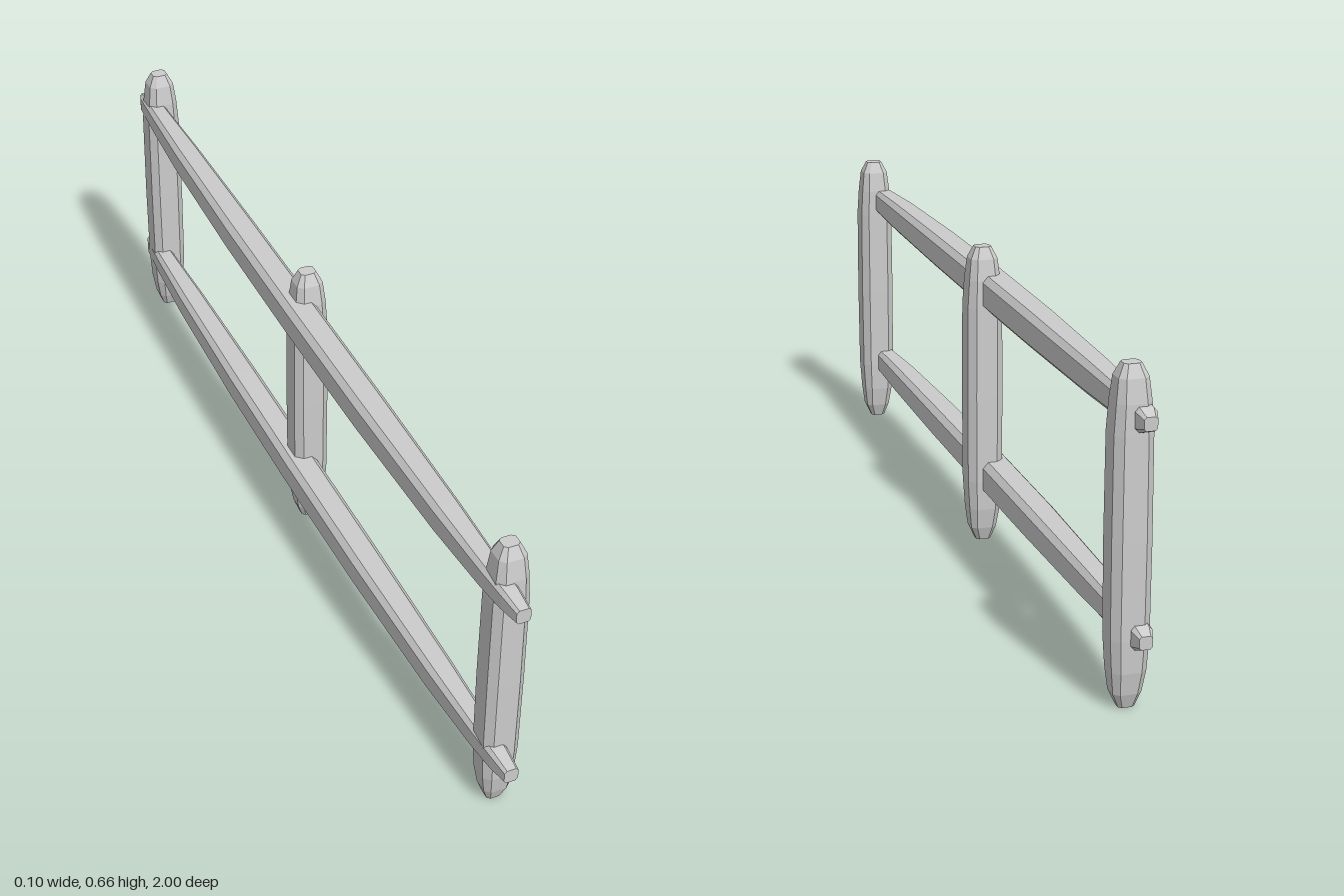
import * as THREE from 'three';

const material = new THREE.MeshStandardMaterial({ color: 0xcccccc, flatShading: true });

// Bevelled beam along y. Each station: [y, centre x, half width x, half width z, bevel share]
function beam(stations) {
  const positions = [];
  const index = [];
  for (const [y, cx, hx, hz, bevel] of stations) {
    const k = 1 - bevel;
    const ring = [[1, -k], [1, k], [k, 1], [-k, 1], [-1, k], [-1, -k], [-k, -1], [k, -1]];
    for (const [u, v] of ring) positions.push(cx + u * hx, y, v * hz);
  }
  const last = (stations.length - 1) * 8;
  for (let i = 0; i < last; i += 8) {
    for (let j = 0; j < 8; j++) {
      const a = i + j, b = i + (j + 1) % 8;
      index.push(a, a + 8, b, b, a + 8, b + 8);
    }
  }
  for (let j = 1; j < 7; j++) {
    index.push(0, j, j + 1);
    index.push(last, last + j + 1, last + j);
  }
  const geometry = new THREE.BufferGeometry();
  geometry.setAttribute('position', new THREE.Float32BufferAttribute(positions, 3));
  geometry.setIndex(index);
  const flat = geometry.toNonIndexed();
  flat.computeVertexNormals();
  return flat;
}

export function createModel() {
  const group = new THREE.Group();

  // Upright posts with tapered, rounded ends
  const postGeometry = beam([
    [0, 0.011, 0.016, 0.014, 0.4],
    [0.03, 0.012, 0.028, 0.025, 0.4],
    [0.075, 0.011, 0.034, 0.033, 0.4],
    [0.14, 0.011, 0.038, 0.036, 0.4],
    [0.33, 0.011, 0.039, 0.037, 0.4],
    [0.53, 0.011, 0.038, 0.036, 0.4],
    [0.59, 0.011, 0.034, 0.034, 0.4],
    [0.635, 0.011, 0.029, 0.027, 0.4],
    [0.66, 0.011, 0.017, 0.015, 0.4],
  ]);
  [['frontPost', 0.905], ['middlePost', -0.03], ['backPost', -0.935]].forEach(([name, z]) => {
    const post = new THREE.Mesh(postGeometry, material);
    post.name = name;
    post.position.z = z;
    group.add(post);
  });

  // Long rails, thickest at the middle, with narrow ends poking past the posts
  const railGeometry = beam([
    [-1, -0.004, 0.013, 0.013, 0.35],
    [-0.975, -0.005, 0.02, 0.023, 0.35],
    [-0.88, -0.008, 0.023, 0.028, 0.35],
    [-0.7, -0.011, 0.029, 0.033, 0.35],
    [-0.35, -0.014, 0.034, 0.037, 0.35],
    [0, -0.015, 0.035, 0.038, 0.35],
    [0.35, -0.014, 0.034, 0.037, 0.35],
    [0.7, -0.011, 0.029, 0.033, 0.35],
    [0.88, -0.008, 0.023, 0.028, 0.35],
    [0.95, -0.005, 0.02, 0.024, 0.35],
    [1, -0.003, 0.015, 0.016, 0.35],
  ]).rotateX(Math.PI / 2);
  [['lowerRail', 0.147], ['upperRail', 0.562]].forEach(([name, y]) => {
    const rail = new THREE.Mesh(railGeometry, material);
    rail.name = name;
    rail.position.y = y;
    group.add(rail);
  });

  return group;
}
